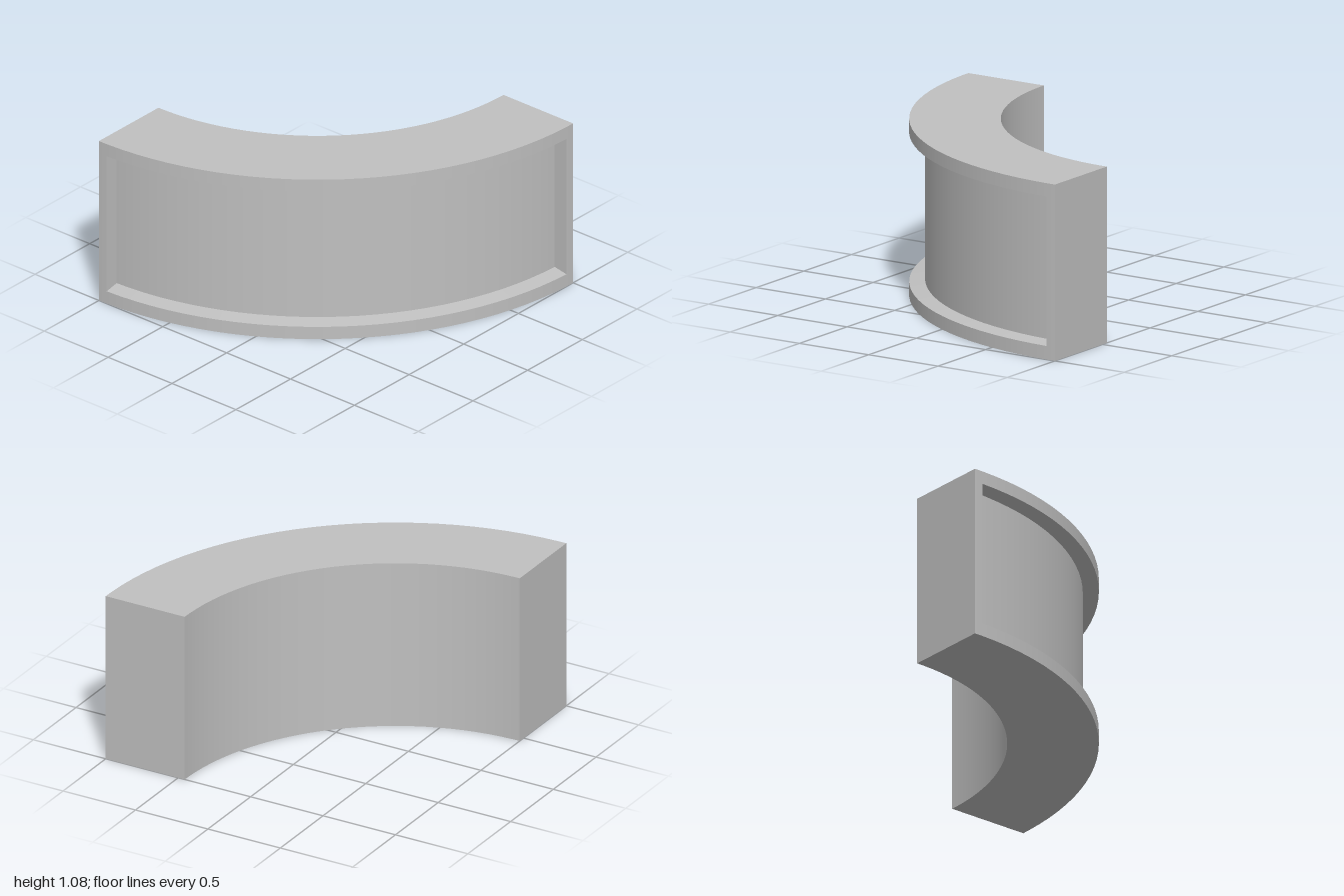
import * as THREE from 'three';
import { mergeGeometries } from 'three/addons/utils/BufferGeometryUtils.js';

const INNER = 1.455, OUTER = 2, RECESS = 1.905, HEIGHT = 1.08;
const START = -Math.PI / 2, END = 0, RIM = 0.03;

// Cross-sections as [radius, y], running counter-clockwise
const solidSection = [[INNER, 0], [OUTER, 0], [OUTER, HEIGHT], [INNER, HEIGHT]];
const recessSection = [[OUTER, 0.083], [RECESS, 0.098], [RECESS, 0.982], [OUTER, 0.998]];
const channelSection = [
  [INNER, 0], [OUTER, 0], ...recessSection, [OUTER, HEIGHT], [INNER, HEIGHT],
];

// Turn each side of a section on its own, so its corners stay sharp
function sweep(section, from, to, segments) {
  return mergeGeometries(section.map((p, i) => {
    const q = section[(i + 1) % section.length];
    const side = [new THREE.Vector2(...p), new THREE.Vector2(...q)];
    return new THREE.LatheGeometry(side, segments, from, to - from);
  }));
}

// Flat radial face closing a section at one angle
function radialFace(section, angle, flip) {
  const shape = new THREE.Shape(section.map((p) => new THREE.Vector2(...p)));
  const face = new THREE.ShapeGeometry(shape);
  if (flip) {
    face.index.array.reverse();
    face.computeVertexNormals();
  }
  return face.rotateY(angle - Math.PI / 2);
}

export function createModel() {
  const group = new THREE.Group();
  group.name = 'curvedCounter';
  const grey = new THREE.MeshStandardMaterial({ color: 0xc0c0c0 });
  grey.name = 'grey';

  const add = (name, geometry) => {
    const mesh = new THREE.Mesh(geometry, grey);
    mesh.name = name;
    mesh.position.set(1, 0, -1); // centre of the arc
    group.add(mesh);
  };

  // Curved body with the recessed outer panel
  add('recessedBody', sweep(channelSection, START + RIM, END - RIM, 28));

  // Narrow solid rims at both ends
  add('leftRim', sweep(solidSection, END - RIM, END, 1));
  add('rightRim', sweep(solidSection, START, START + RIM, 1));

  // Flat ends of the counter
  add('leftEnd', radialFace(solidSection, END, true));
  add('rightEnd', radialFace(solidSection, START, false));

  // Small walls closing the recess against the rims
  add('leftRecessWall', radialFace(recessSection, END - RIM, false));
  add('rightRecessWall', radialFace(recessSection, START + RIM, true));

  return group;
}
